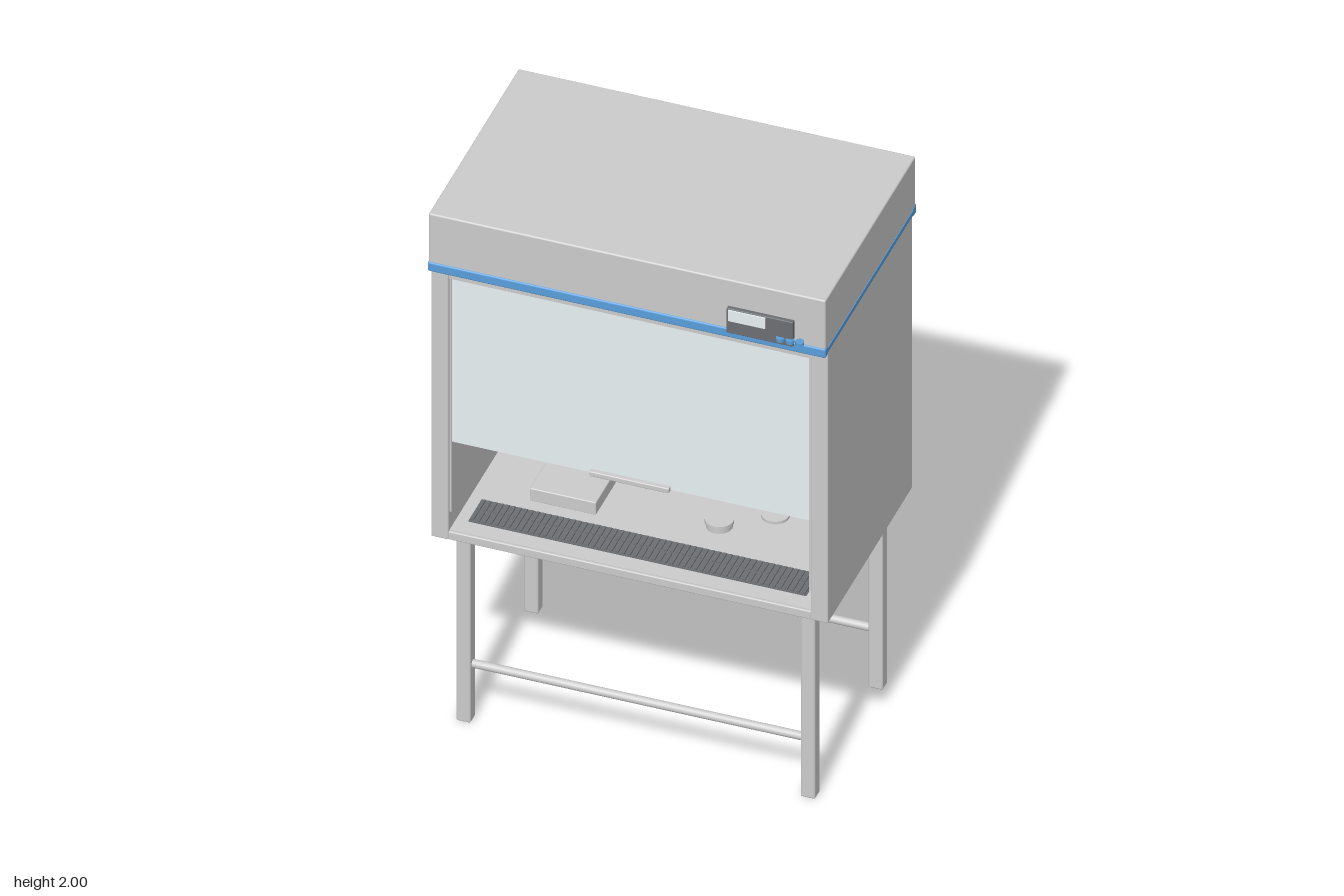
import * as THREE from 'three';
import { RoundedBoxGeometry } from 'three/addons/geometries/RoundedBoxGeometry.js';

const mat = (color) => new THREE.MeshStandardMaterial({ color });

export function createModel() {
  const model = new THREE.Group();
  model.name = 'safetyCabinet';
  const grey = mat(0xcccccc), steel = mat(0xe4e4e4), dark = mat(0x6c6f73);
  const blue = mat(0x5a9fdc), glass = mat(0xe8f1f4);

  const add = (name, geometry, material, parent = model) => {
    const mesh = new THREE.Mesh(geometry, material);
    mesh.name = name;
    parent.add(mesh);
    return mesh;
  };
  // Box given by its limits on each axis; r rounds the edges
  const box = (name, [x0, x1], [y0, y1], [z0, z1], material, r = 0, parent = model) => {
    const size = [x1 - x0, y1 - y0, z1 - z0];
    const geometry = r ? new RoundedBoxGeometry(...size, 2, r) : new THREE.BoxGeometry(...size);
    const mesh = add(name, geometry, material, parent);
    mesh.position.set((x0 + x1) / 2, (y0 + y1) / 2, (z0 + z1) / 2);
    return mesh;
  };
  const disc = (name, r, h, x, y, z, material, parent = model) => {
    const mesh = add(name, new THREE.CylinderGeometry(r, r, h, 32), material, parent);
    mesh.position.set(x, y + h / 2, z);
    return mesh;
  };
  const span = (side, a, b) => (side > 0 ? [a, b] : [-b, -a]);

  // Top housing and the coloured trim round its lower edge
  box('topHousing', [-0.658, 0.658], [1.795, 2], [-0.415, 0.392], grey, 0.006);
  box('frontTrim', [-0.66, 0.66], [1.78, 1.815], [0.368, 0.397], blue, 0.006);
  box('backTrim', [-0.66, 0.66], [1.78, 1.815], [-0.42, -0.388], blue, 0.006);

  // Cabinet shell
  for (const s of [1, -1]) {
    box('sideTrim', span(s, 0.65, 0.66), [1.79, 1.807], [-0.41, 0.39], blue);
    box('sideWall', span(s, 0.6, 0.658), [0.735, 1.8], [-0.387, 0.37], grey, 0.005);
    box('sashGuide', span(s, 0.592, 0.602), [0.84, 1.79], [0.335, 0.362], grey);
  }
  box('backPanel', [-0.602, 0.602], [0.738, 1.8], [-0.378, -0.35], grey);
  box('ceiling', [-0.602, 0.602], [1.782, 1.798], [-0.36, 0.37], grey);

  // Sliding sash with its head rail and handle
  box('sashRail', [-0.602, 0.602], [1.745, 1.785], [0.345, 0.366], grey);
  box('sashGlass', [-0.592, 0.592], [1.11, 1.75], [0.346, 0.358], glass);
  box('sashHandle', [-0.132, 0.132], [1.105, 1.124], [0.35, 0.374], steel, 0.004);

  // Work surface
  box('floorPan', [-0.602, 0.602], [0.742, 0.76], [-0.36, 0.35], grey);
  box('workSurface', [-0.602, 0.602], [0.758, 0.768], [-0.352, 0.36], steel);
  box('frontSill', [-0.602, 0.602], [0.735, 0.766], [0.34, 0.368], steel, 0.004);

  // Air intake grille: dark bed under two rows of slats
  const grille = new THREE.Group();
  grille.name = 'intakeGrille';
  model.add(grille);
  box('grilleBed', [-0.56, 0.56], [0.766, 0.771], [0.18, 0.3], dark, 0, grille);
  for (let i = 0; i < 56; i++) {
    const x = -0.555 + i * 0.02;
    for (const z of [0.185, 0.243]) {
      box('grilleSlat', [x, x + 0.01], [0.769, 0.776], [z, z + 0.052], dark, 0, grille);
    }
  }

  // Items on the work surface
  box('sampleBox', [-0.42, -0.2], [0.766, 0.815], [-0.05, 0.13], steel, 0.004);
  disc('dishBase', 0.042, 0.024, 0.18, 0.766, 0.05, steel);
  disc('dishLid', 0.046, 0.012, 0.18, 0.785, 0.05, steel);
  disc('spareLid', 0.045, 0.012, 0.325, 0.766, -0.06, steel);

  // Control panel with a display and three buttons
  const controls = new THREE.Group();
  controls.name = 'controlPanel';
  model.add(controls);
  box('panelPlate', [0.335, 0.555], [1.805, 1.9], [0.385, 0.406], dark, 0.003, controls);
  box('display', [0.342, 0.465], [1.855, 1.896], [0.4, 0.411], glass, 0, controls);
  for (let i = 0; i < 3; i++) {
    disc('button', 0.014, 0.012, 0.514 + i * 0.032, 1.822, 0.406, blue, controls);
  }

  // Stand: four square legs joined by a rod at the front and the back
  for (const z of [0.293, -0.313]) {
    for (const s of [1, -1]) {
      box('leg', span(s, 0.547, 0.595), [0, 0.745], [z - 0.023, z + 0.023], steel, 0.006);
    }
    const rod = add('crossRod', new THREE.CylinderGeometry(0.014, 0.014, 1.1, 20), steel);
    rod.rotation.z = Math.PI / 2;
    rod.position.set(0, 0.218, z);
  }
  return model;
}
